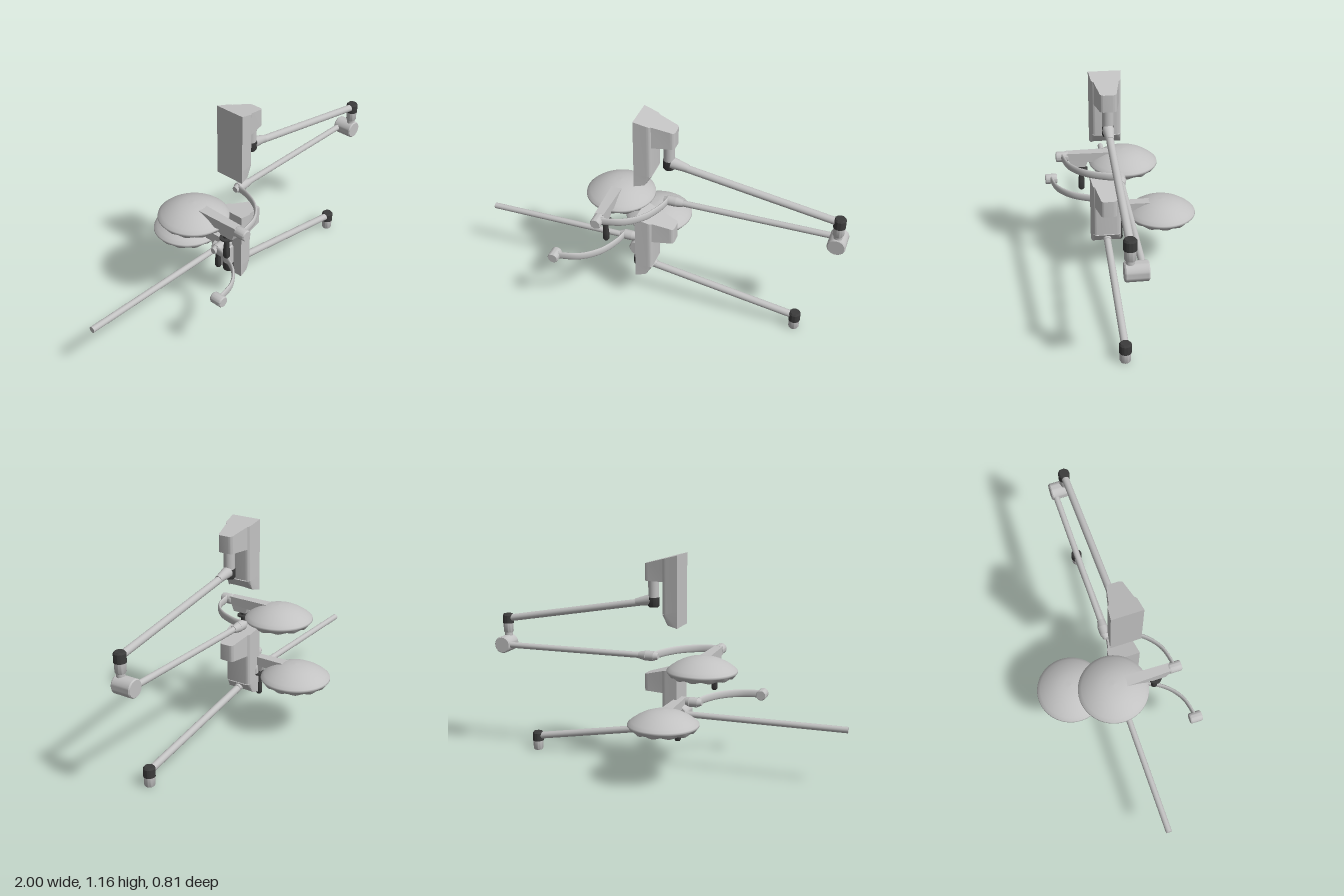
import * as THREE from 'three';
import { toCreasedNormals } from 'three/addons/utils/BufferGeometryUtils.js';

const V = (x, y, z) => new THREE.Vector3(x, y, z);
const MOUNT_Z = 0.0925;

export function createModel() {
  const shell = new THREE.MeshStandardMaterial({ color: 0xc2c2c2 });
  shell.name = 'light grey enamel';
  const dark = new THREE.MeshStandardMaterial({ color: 0x3c3c3c });
  dark.name = 'dark grey plastic';

  const group = (name, ...parts) => {
    const g = new THREE.Group();
    g.name = name;
    g.add(...parts);
    return g;
  };
  const mesh = (name, geometry, material = shell) => {
    const m = new THREE.Mesh(geometry, material);
    m.name = name;
    return m;
  };
  const bend = (geometry, rule) => {
    const p = geometry.attributes.position;
    const v = new THREE.Vector3();
    for (let i = 0; i < p.count; i++) {
      rule(v.fromBufferAttribute(p, i));
      p.setXYZ(i, v.x, v.y, v.z);
    }
    geometry.computeVertexNormals();
    return geometry;
  };
  // Round bar from a to b with separate end radii
  const bar = (name, a, b, r0, r1 = r0, material = shell) => {
    const dir = b.clone().sub(a);
    const m = mesh(name, new THREE.CylinderGeometry(r1, r0, dir.length(), 24), material);
    m.position.copy(a).add(b).multiplyScalar(0.5);
    m.quaternion.setFromUnitVectors(V(0, 1, 0), dir.normalize());
    return m;
  };
  // Turned part standing on a vertical axis
  const turned = (name, pts, at, material = shell) => {
    const g = new THREE.LatheGeometry(pts.map(p => new THREE.Vector2(...p)), 32);
    const m = mesh(name, toCreasedNormals(g, 0.6), material);
    m.position.copy(at);
    return m;
  };

  // Wall bracket: rounded body with a tapering nose, both under one sloping top
  const plan = (x0, x1, w0, w1, r) => {
    const s = new THREE.Shape();
    s.moveTo(x0, -w0);
    s.lineTo(x1 - r, -w1);
    s.quadraticCurveTo(x1, -w1, x1, -w1 + r);
    s.lineTo(x1, w1 - r);
    s.quadraticCurveTo(x1, w1, x1 - r, w1);
    s.lineTo(x0, w0);
    s.closePath();
    return s;
  };
  const block = (name, shape, y0, y1, foot) => {
    const g = new THREE.ExtrudeGeometry(shape, { depth: y1 - y0, bevelEnabled: false, curveSegments: 8 });
    g.rotateX(-Math.PI / 2).translate(0, y0, MOUNT_Z);
    const mid = (y0 + y1) / 2;
    bend(g, v => {
      if (v.y > mid) v.y -= (v.x + 0.09) * 0.27;
      else if (foot) {
        v.y += Math.max(0, v.x + 0.05) * 0.5;
        v.x -= Math.max(0, v.x + 0.05) * 0.5;
      }
    });
    return mesh(name, toCreasedNormals(g, 0.6));
  };
  const bracket = (dy) => {
    const g = group('wallBracket',
      block('bracketFoot', plan(-0.09, 0, 0.084, 0.076, 0.025), 0.78, 0.87, true),
      block('bracketBody', plan(-0.09, 0, 0.084, 0.076, 0.025), 0.85, 1.165, false),
      block('bracketNose', plan(-0.09, 0.11, 0.084, 0.045, 0.025), 1.02, 1.165, false));
    g.position.y = dy;
    return g;
  };

  // Sloping arm with a swivel post at one end and a capped knuckle at the other
  const slopingArm = (dx, dy) => {
    const at = (x, y) => V(x, y, MOUNT_Z);
    const g = group('slopingArm',
      bar('swivelPost', at(0.07, 0.92), at(0.07, 1.03), 0.029),
      turned('swivelJoint', [[0, 0.875], [0.026, 0.875], [0.031, 0.883], [0.031, 0.928], [0, 0.928]],
        at(0.07, 0), dark),
      bar('armCollar', at(0.085, 0.913), at(0.17, 0.896), 0.031, 0.02),
      bar('armTube', at(0.08, 0.908), at(0.94, 0.762), 0.0195),
      turned('elbowCap', [[0, 0.733], [0.031, 0.733], [0.031, 0.778], [0.024, 0.787], [0, 0.787]],
        at(0.95, 0), dark),
      turned('elbowSleeve', [[0, 0.68], [0.024, 0.68], [0.028, 0.688], [0.028, 0.735], [0, 0.735]],
        at(0.95, 0)));
    g.position.set(dx, dy, 0);
    return g;
  };

  // Level arm ending in a horizontal drum
  const levelArm = (dx, dy) => {
    const drum = turned('armDrum', [[0, -0.056], [0.042, -0.056], [0.047, -0.05],
      [0.047, 0.05], [0.042, 0.056], [0, 0.056]], V(0.95, 0.62, 0.064));
    drum.rotation.x = Math.PI / 2;
    const g = group('levelArm', drum,
      bar('drumNeck', V(0.95, 0.65, MOUNT_Z), V(0.95, 0.682, MOUNT_Z), 0.022),
      bar('levelTube', V(0.05, 0.62, 0.03), V(0.94, 0.62, 0.03), 0.0165));
    g.position.set(dx, dy, 0);
    return g;
  };

  // Curved yoke, taller than it is thick, with a coupler and an end knuckle
  const yoke = (dx, dy, dz) => {
    const path = new THREE.CatmullRomCurve3([
      V(0.045, 0, 0.03), V(0.03, 0, 0.1), V(-0.025, 0, 0.21),
      V(-0.115, 0, 0.285), V(-0.24, 0, 0.317)]);
    const tube = new THREE.TubeGeometry(path, 40, 0.009, 16);
    const strap = mesh('yokeBow', bend(tube, v => { v.y *= 2.4; }));
    strap.position.y = 0.622;
    const knuckle = turned('yokeKnuckle', [[0, -0.034], [0.025, -0.034], [0.029, -0.028],
      [0.029, 0.028], [0.025, 0.034], [0, 0.034]], V(-0.24, 0.62, 0.314));
    knuckle.rotation.x = Math.PI / 2;
    const g = group('yoke', strap, knuckle,
      bar('couplerSleeve', V(0.045, 0.62, 0.028), V(0.09, 0.62, 0.028), 0.027),
      bar('couplerTaper', V(0.09, 0.62, 0.028), V(0.13, 0.62, 0.03), 0.027, 0.019),
      bar('couplerTip', V(0.022, 0.62, 0.028), V(0.045, 0.62, 0.028), 0.016, 0.024));
    g.position.set(dx, dy, dz);
    return g;
  };

  // Lamp head: shallow dome, scalloped reflector, stem and hanging handle
  const lampHead = (dx, dy, dz) => {
    const profile = [[0.181, 0.565], [0.187, 0.571], [0.185, 0.58], [0.168, 0.595], [0.14, 0.614],
      [0.105, 0.632], [0.07, 0.644], [0.035, 0.65], [0, 0.652]].map(p => new THREE.Vector2(...p));
    const dome = mesh('lampDome', new THREE.LatheGeometry(profile, 64));
    const under = [[0, 0.55], [0.04, 0.548], [0.09, 0.545], [0.135, 0.542], [0.165, 0.542],
      [0.176, 0.555], [0.184, 0.57]].map(p => new THREE.Vector2(...p));
    const reflector = mesh('lampReflector', bend(new THREE.LatheGeometry(under, 96), v => {
      const r = Math.hypot(v.x, v.z);
      if (r > 0.03 && r < 0.18)
        v.y += 0.004 * (r / 0.17) * (1 - Math.cos(12 * Math.atan2(v.z, v.x)));
    }));
    for (const m of [dome, reflector]) m.position.set(-0.24, 0, -0.022);

    const stemBox = new THREE.BoxGeometry(0.046, 0.044, 0.3, 1, 1, 4);
    const stem = mesh('lampStem', toCreasedNormals(bend(stemBox, v => {
      const t = 0.5 - v.z / 0.3;
      v.x *= 1 + 0.35 * t;
      if (v.y < 0) v.y -= 0.02 * t;
    }), 0.5));
    stem.position.set(-0.24, 0.622, 0.14);
    const lug = mesh('handleBracket', toCreasedNormals(
      bend(new THREE.BoxGeometry(0.04, 0.045, 0.11), v => { if (v.y < 0) v.z *= 0.7; }), 0.5));
    lug.position.set(-0.24, 0.583, 0.225);
    const handle = turned('handleGrip', [[0, 0.415], [0.012, 0.417], [0.017, 0.425], [0.017, 0.47],
      [0.014, 0.5], [0.014, 0.536], [0.036, 0.538], [0.036, 0.545], [0.018, 0.548],
      [0.018, 0.572], [0, 0.572]], V(-0.24, 0, 0.21), dark);
    const g = group('lampHead', dome, reflector, stem, lug, handle);
    g.position.set(dx, dy, dz);
    return g;
  };

  // Two sets of the same parts, one above the other
  return group('wallLamps',
    group('upperLamp', bracket(0), slopingArm(0, 0), levelArm(0, 0), yoke(0, 0, 0), lampHead(0, 0, 0)),
    group('lowerLamp', bracket(-0.6), slopingArm(-0.167, -0.68), levelArm(-1.05, -0.305),
      yoke(-0.23, -0.25, 0.055), lampHead(0.145, -0.25, -0.196)));
}
